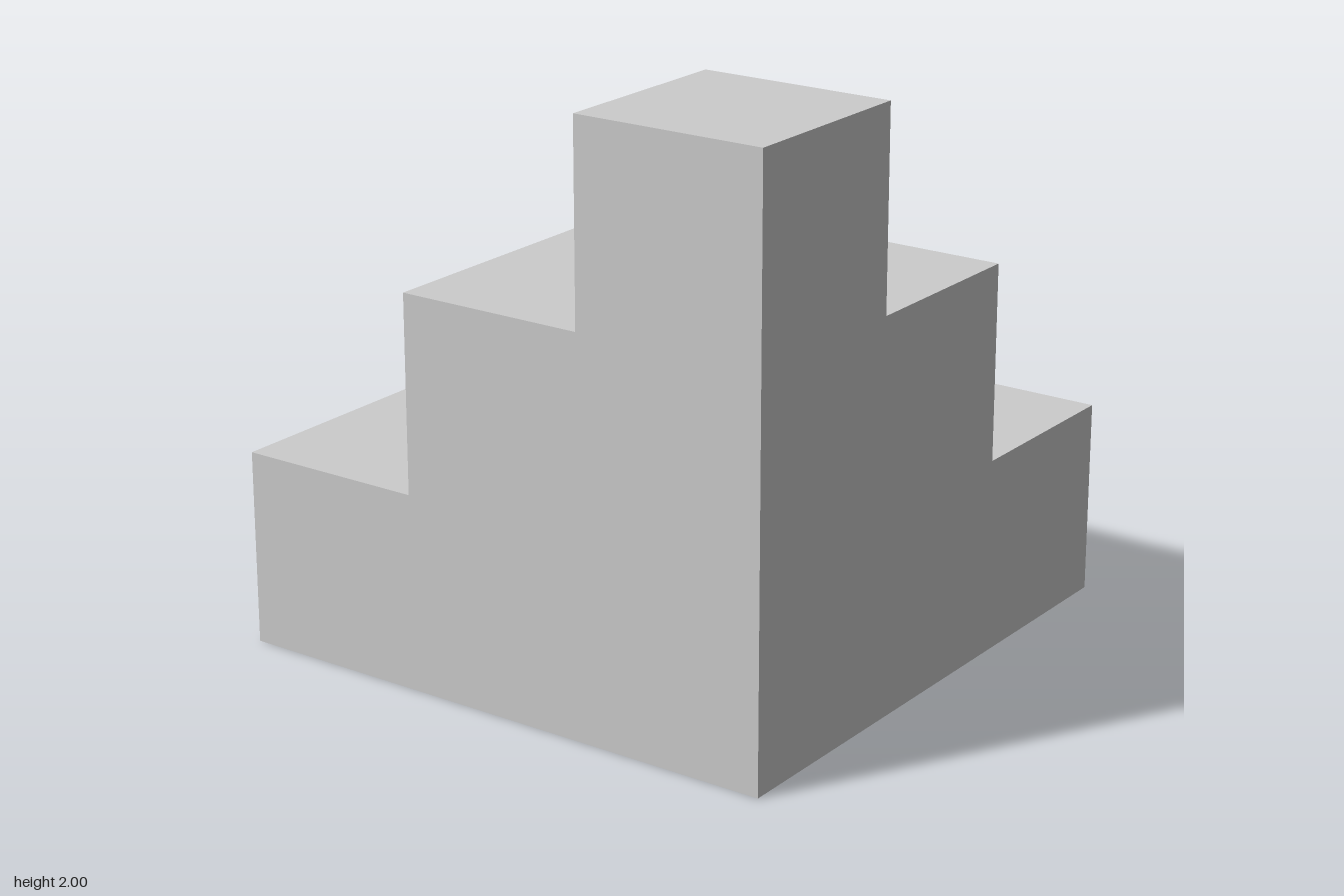
import * as THREE from 'three';

const STEP = 2 / 3; // height of each tier, and how far each one is set back

export function createModel() {
  const model = new THREE.Group();
  model.name = 'corner steps';
  const material = new THREE.MeshStandardMaterial({ color: 0xcccccc, flatShading: true });

  // Square tiers, each smaller than the one below, all flush with the front left corner
  ['bottomTier', 'middleTier', 'topTier'].forEach((name, i) => {
    const size = 2 - i * STEP;
    const tier = new THREE.Mesh(new THREE.BoxGeometry(size, STEP, size), material);
    tier.name = name;
    tier.position.set(1 - size / 2, (i + 0.5) * STEP, 1 - size / 2);
    model.add(tier);
  });

  return model;
}
